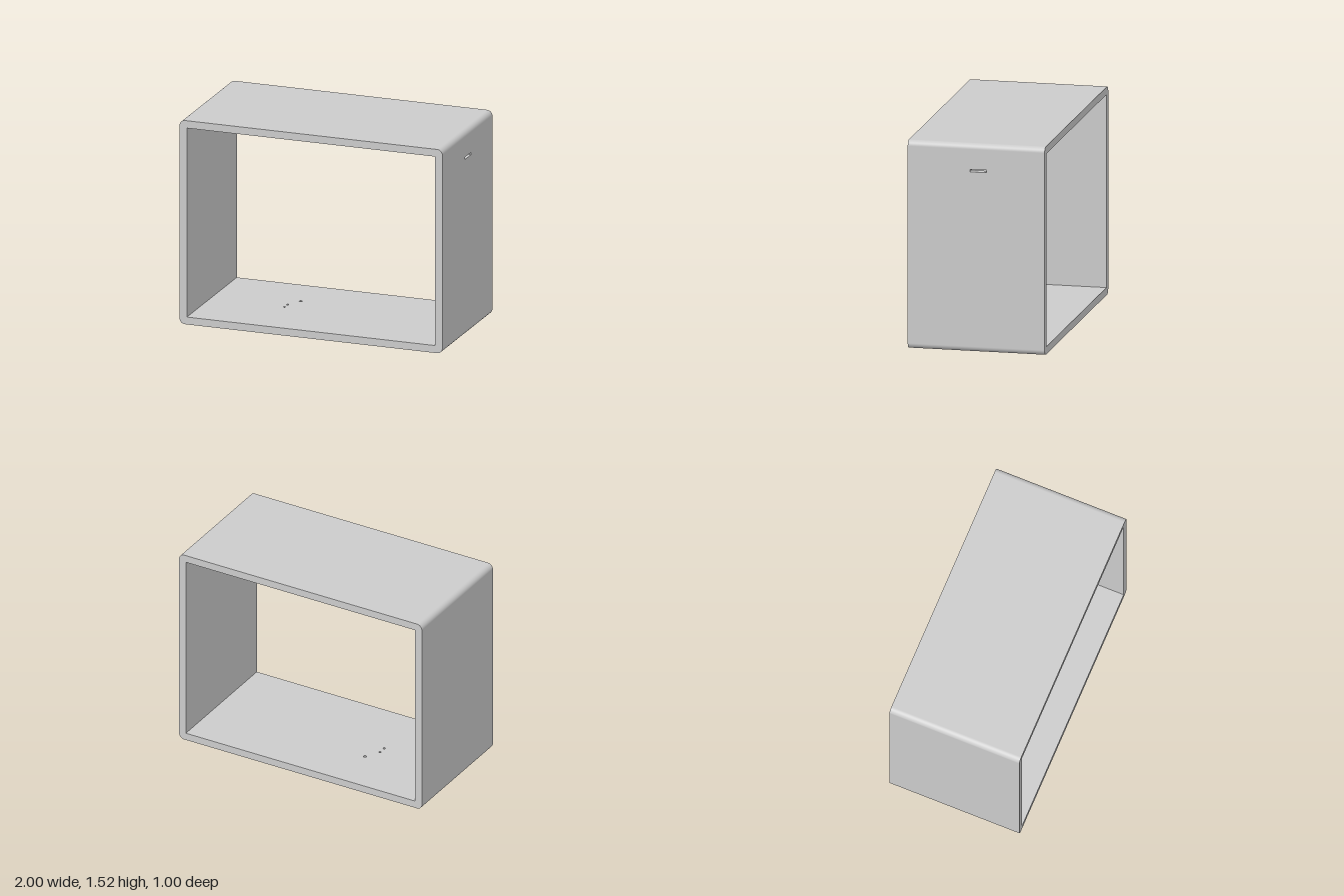
import * as THREE from 'three';

const W = 2, H = 1.52, D = 1; // outer size
const T = 0.055, R = 0.04;    // wall thickness, outer corner radius

const material = new THREE.MeshStandardMaterial({ color: 0xcccccc });
const liningMaterial = new THREE.MeshStandardMaterial({ color: 0xcccccc, side: THREE.DoubleSide });

function rect(w, h, cx = 0, cy = 0, Type = THREE.Shape) {
  const x = w / 2, y = h / 2;
  return new Type([[-x, -y], [x, -y], [x, y], [-x, y]]
    .map(([px, py]) => new THREE.Vector2(cx + px, cy + py)));
}

function roundHole(cx, cy, r) {
  return new THREE.Path().absarc(cx, cy, r, 0, Math.PI * 2);
}

// Outer or inner skin of a wall; the inner one is turned to face inwards
function skin(w, h, holes, inner) {
  const shape = rect(w, h);
  shape.holes.push(...holes);
  const geometry = new THREE.ShapeGeometry(shape, 8);
  if (inner) {
    geometry.index.array.reverse();
    geometry.translate(0, 0, -T);
    geometry.computeVertexNormals();
  }
  return geometry;
}

// Walls of a hole running through the panel thickness
function lining(path) {
  const pts = path.getPoints(8), pos = [];
  pts.forEach((a, i) => {
    const b = pts[(i + 1) % pts.length];
    if (a.distanceTo(b) < 1e-6) return;
    pos.push(a.x, a.y, 0, a.x, a.y, -T, b.x, b.y, 0);
    pos.push(b.x, b.y, 0, a.x, a.y, -T, b.x, b.y, -T);
  });
  const geometry = new THREE.BufferGeometry();
  geometry.setAttribute('position', new THREE.Float32BufferAttribute(pos, 3));
  geometry.computeVertexNormals();
  return geometry;
}

export function createModel() {
  const model = new THREE.Group();
  model.name = 'openCabinet';

  const add = (parent, name, geometry, mat = material) => {
    const mesh = new THREE.Mesh(geometry, mat);
    mesh.name = name;
    parent.add(mesh);
    return mesh;
  };

  // A wall: its outer face lies in the local xy plane and faces local +z
  const panel = (name, outer, inner, holes = []) => {
    const group = new THREE.Group();
    group.name = name;
    add(group, name + 'OuterFace', skin(...outer, holes, false));
    add(group, name + 'InnerFace', skin(...inner, holes, true));
    holes.forEach((hole) => add(group, name + 'HoleLining', lining(hole), liningMaterial));
    model.add(group);
    return group;
  };

  // Top and floor, the floor with three small drilled holes
  const level = [[W - 2 * R, D], [W - 2 * T, D]];
  const top = panel('top', ...level);
  top.rotation.x = -Math.PI / 2;
  top.position.y = H;
  const floor = panel('floor', ...level, [
    roundHole(-0.38, 0.03, 0.009),
    roundHole(-0.38, -0.03, 0.009),
    roundHole(-0.32, -0.137, 0.012),
  ]);
  floor.rotation.x = Math.PI / 2;

  // Side walls, the left one (+x) with a narrow slot near the top
  const upright = [[D, H - 2 * R], [D, H - 2 * T]];
  const slot = rect(0.12, 0.018, 0.015, 1.325 - H / 2, THREE.Path);
  const leftWall = panel('leftWall', ...upright, [slot]);
  leftWall.rotation.y = Math.PI / 2;
  leftWall.position.set(W / 2, H / 2, 0);
  const rightWall = panel('rightWall', ...upright);
  rightWall.rotation.y = -Math.PI / 2;
  rightWall.position.set(-W / 2, H / 2, 0);

  // Rounded outer edges
  const corner = new THREE.CylinderGeometry(R, R, D, 10, 1, true, Math.PI / 2, Math.PI / 2);
  corner.rotateX(Math.PI / 2);
  [[1, 1], [-1, 1], [-1, -1], [1, -1]].forEach(([sx, sy], i) => {
    const edge = add(model, 'roundedEdge', corner);
    edge.position.set(sx * (W / 2 - R), H / 2 + sy * (H / 2 - R), 0);
    edge.rotation.z = i * Math.PI / 2;
  });

  // Front and back rims
  const x = W / 2 - R, y = H / 2 - R, q = Math.PI / 2;
  const ring = new THREE.Shape();
  ring.absarc(x, y, R, 0, q);
  ring.absarc(-x, y, R, q, 2 * q);
  ring.absarc(-x, -y, R, 2 * q, 3 * q);
  ring.absarc(x, -y, R, 3 * q, 4 * q);
  ring.holes.push(rect(W - 2 * T, H - 2 * T, 0, 0, THREE.Path));
  const rim = new THREE.ShapeGeometry(ring, 10);
  add(model, 'frontRim', rim).position.set(0, H / 2, D / 2);
  const backRim = add(model, 'backRim', rim);
  backRim.position.set(0, H / 2, -D / 2);
  backRim.rotation.y = Math.PI;

  return model;
}
